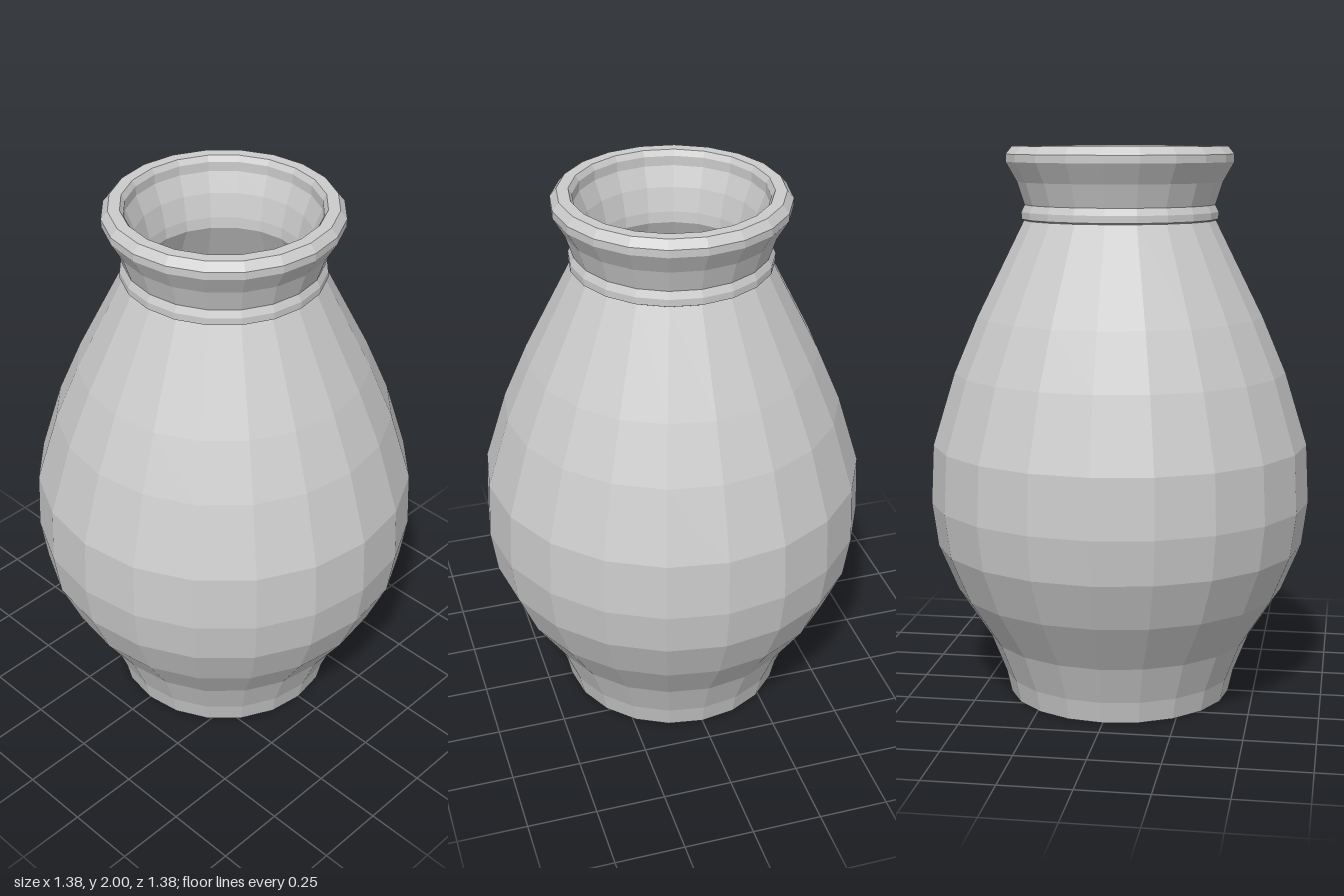
import * as THREE from 'three';

const SIDES = 20;

// Faceted surface of revolution from [radius, height] pairs
function turned(name, profile) {
  const points = profile.map(([r, y]) => new THREE.Vector2(r, y));
  const material = new THREE.MeshStandardMaterial({ color: 0xcccccc, flatShading: true });
  const mesh = new THREE.Mesh(new THREE.LatheGeometry(points, SIDES), material);
  mesh.name = name;
  return mesh;
}

export function createModel() {
  const vase = new THREE.Group();
  vase.name = 'vase';

  // Closed base, foot, belly and shoulder
  vase.add(turned('body', [
    [0, 0], [0.407, 0], [0.425, 0.08], [0.48, 0.22], [0.597, 0.4],
    [0.668, 0.57], [0.69, 0.73], [0.68, 0.94], [0.6, 1.2], [0.515, 1.4], [0.345, 1.74],
  ]));

  // Raised band at the foot of the neck
  vase.add(turned('neckBand', [
    [0.345, 1.74], [0.354, 1.745], [0.354, 1.77], [0.342, 1.795],
  ]));

  // Flared neck and rounded lip
  vase.add(turned('neckAndLip', [
    [0.342, 1.795], [0.368, 1.875], [0.408, 1.945], [0.408, 1.972],
    [0.385, 2], [0.345, 2],
  ]));

  // Hollow inside, from the lip down to the floor
  vase.add(turned('interior', [
    [0.345, 2], [0.333, 1.98], [0.333, 1.945], [0.305, 1.875], [0.285, 1.79], [0.282, 1.75],
    [0.46, 1.38], [0.545, 1.18], [0.62, 0.93], [0.63, 0.73], [0.61, 0.58],
    [0.54, 0.42], [0.43, 0.25], [0.37, 0.1], [0.355, 0.06], [0, 0.06],
  ]));

  return vase;
}
